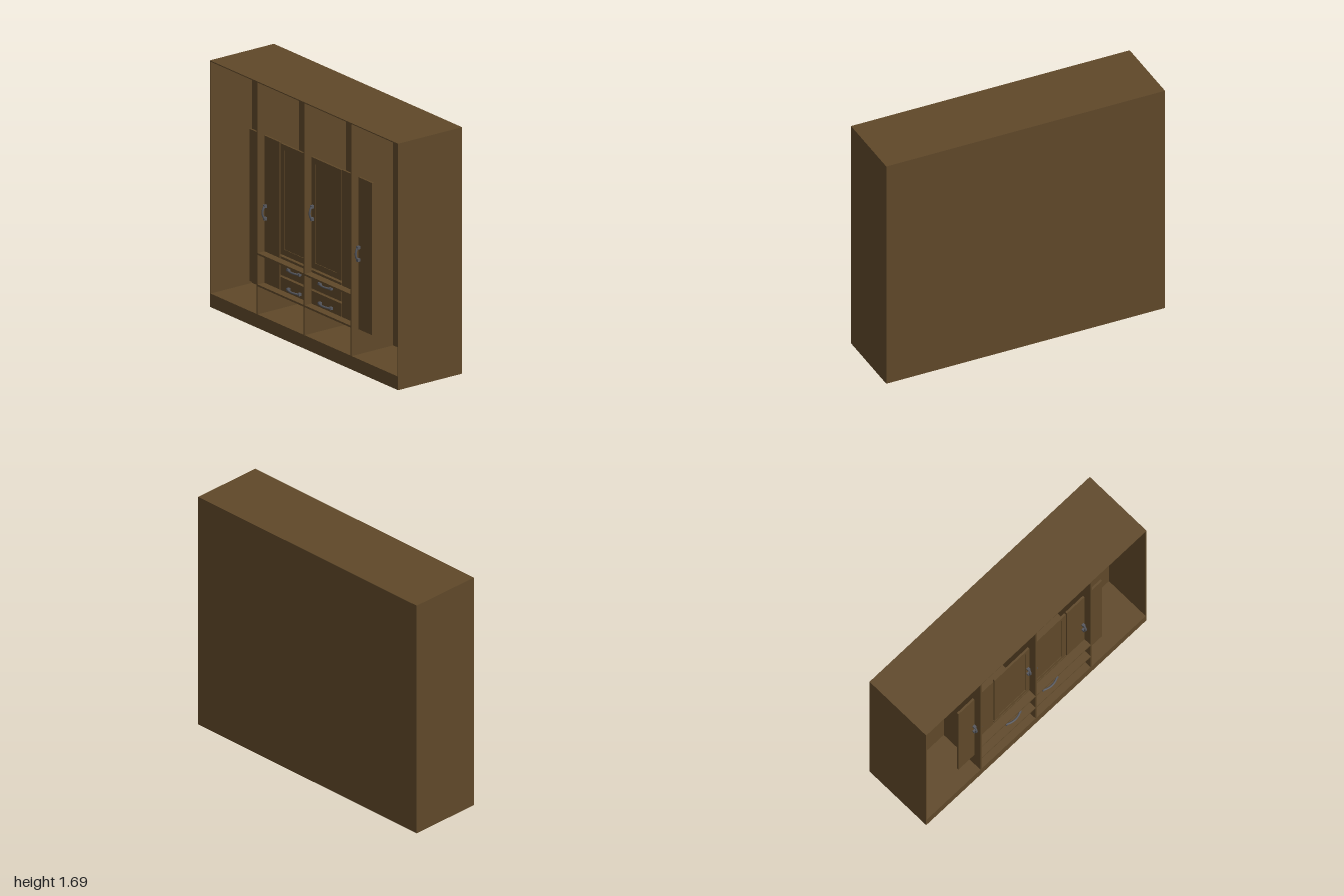
import * as THREE from 'three';

const wood = new THREE.MeshStandardMaterial({ color: 0x5f4829 });
const metal = new THREE.MeshStandardMaterial({ color: 0x55565c });

const H = 1.69, FRONT = 0.26, BACK = -0.26, INNER_BACK = -0.077;
const T = 0.007;           // carcass panel thickness
const DOOR_Z = 0.204;      // front plane of doors and drawers
const DOOR_T = 0.014;

// Box given by its min and max corners
function box(parent, name, x0, x1, y0, y1, z0, z1, material = wood) {
  const mesh = new THREE.Mesh(new THREE.BoxGeometry(x1 - x0, y1 - y0, z1 - z0), material);
  mesh.position.set((x0 + x1) / 2, (y0 + y1) / 2, (z0 + z1) / 2);
  mesh.name = name;
  parent.add(mesh);
}

// Bowed pull handle with two square feet, upright by default
function handle(parent, name, x, y, length, horizontal) {
  const g = new THREE.Group();
  g.name = name;
  const h = length / 2 - 0.01;
  const bow = new THREE.QuadraticBezierCurve3(
    new THREE.Vector3(0, -h, 0.015), new THREE.Vector3(0, 0, 0.045), new THREE.Vector3(0, h, 0.015));
  const grip = new THREE.Mesh(new THREE.TubeGeometry(bow, 12, 0.007, 8), metal);
  grip.name = 'handleGrip';
  g.add(grip);
  for (const s of [-1, 1]) {
    box(g, 'handleFoot', -0.009, 0.009, s * h - 0.01, s * h + 0.01, 0, 0.02, metal);
  }
  g.position.set(x, y, DOOR_Z);
  if (horizontal) g.rotation.z = Math.PI / 2;
  parent.add(g);
}

// Door frame with a slightly recessed panel
function framedDoor(parent, x0, x1, y0, y1) {
  const b = 0.04;
  const shape = new THREE.Shape([[x0, y0], [x1, y0], [x1, y1], [x0, y1]].map(p => new THREE.Vector2(...p)));
  shape.holes.push(new THREE.Path([[x0 + b, y0 + b], [x0 + b, y1 - b], [x1 - b, y1 - b], [x1 - b, y0 + b]]
    .map(p => new THREE.Vector2(...p))));
  const frame = new THREE.Mesh(new THREE.ExtrudeGeometry(shape, { depth: DOOR_T, bevelEnabled: false }), wood);
  frame.position.z = DOOR_Z - DOOR_T;
  frame.name = 'centreDoorFrame';
  parent.add(frame);
  box(parent, 'centreDoorPanel', x0 + b, x1 - b, y0 + b, y1 - b, DOOR_Z - DOOR_T, DOOR_Z - 0.004);
}

export function createModel() {
  const root = new THREE.Group();
  root.name = 'wardrobe';

  // Carcass
  const carcass = new THREE.Group();
  carcass.name = 'carcass';
  root.add(carcass);
  box(carcass, 'base', -1, 1, 0, 0.093, INNER_BACK, FRONT);
  box(carcass, 'back', -1, 1, 0, H, BACK, INNER_BACK);
  box(carcass, 'top', -1, 1, H - T, H, INNER_BACK, FRONT);
  box(carcass, 'rightSide', -1, -1 + T, 0.093, H - T, INNER_BACK, FRONT);
  box(carcass, 'leftSide', 1 - T, 1, 0.093, H - T, INNER_BACK, FRONT);
  for (const x of [-0.5, 0, 0.5]) {
    box(carcass, 'divider', x - 0.007, x + 0.007, 0.093, H - T, INNER_BACK, FRONT);
  }

  // Shelves across the two middle bays
  for (const y of [0.285, 0.501]) {
    for (const x of [-0.493, 0.007]) {
      box(carcass, 'shelf', x, x + 0.486, y, y + 0.013, INNER_BACK, FRONT);
    }
  }

  // Doors and drawers, mirrored about the centre
  for (const s of [-1, 1]) {
    const side = new THREE.Group();
    side.name = s < 0 ? 'rightFronts' : 'leftFronts';
    root.add(side);
    const span = (a, b) => (s > 0 ? [a, b] : [-b, -a]);

    for (const [a, b] of [[0.333, 0.497], [0.503, 0.652]]) {
      box(side, 'outerDoor', ...span(a, b), 0.265, 1.308, DOOR_Z - DOOR_T, DOOR_Z);
    }
    framedDoor(side, ...span(0.003, 0.323), 0.545, 1.304);
    for (const [y0, y1] of [[0.275, 0.388], [0.403, 0.53]]) {
      box(side, 'drawerFront', ...span(0.003, 0.323), y0, y1, DOOR_Z - DOOR_T, DOOR_Z);
    }

    handle(side, 'centreDoorHandle', s * 0.026, 0.927, 0.105, false);
    for (const x of [0.475, 0.516]) handle(side, 'outerDoorHandle', s * x, 0.787, 0.105, false);
    for (const y of [0.33, 0.465]) handle(side, 'drawerHandle', s * 0.167, y, 0.138, true);
  }
  return root;
}
